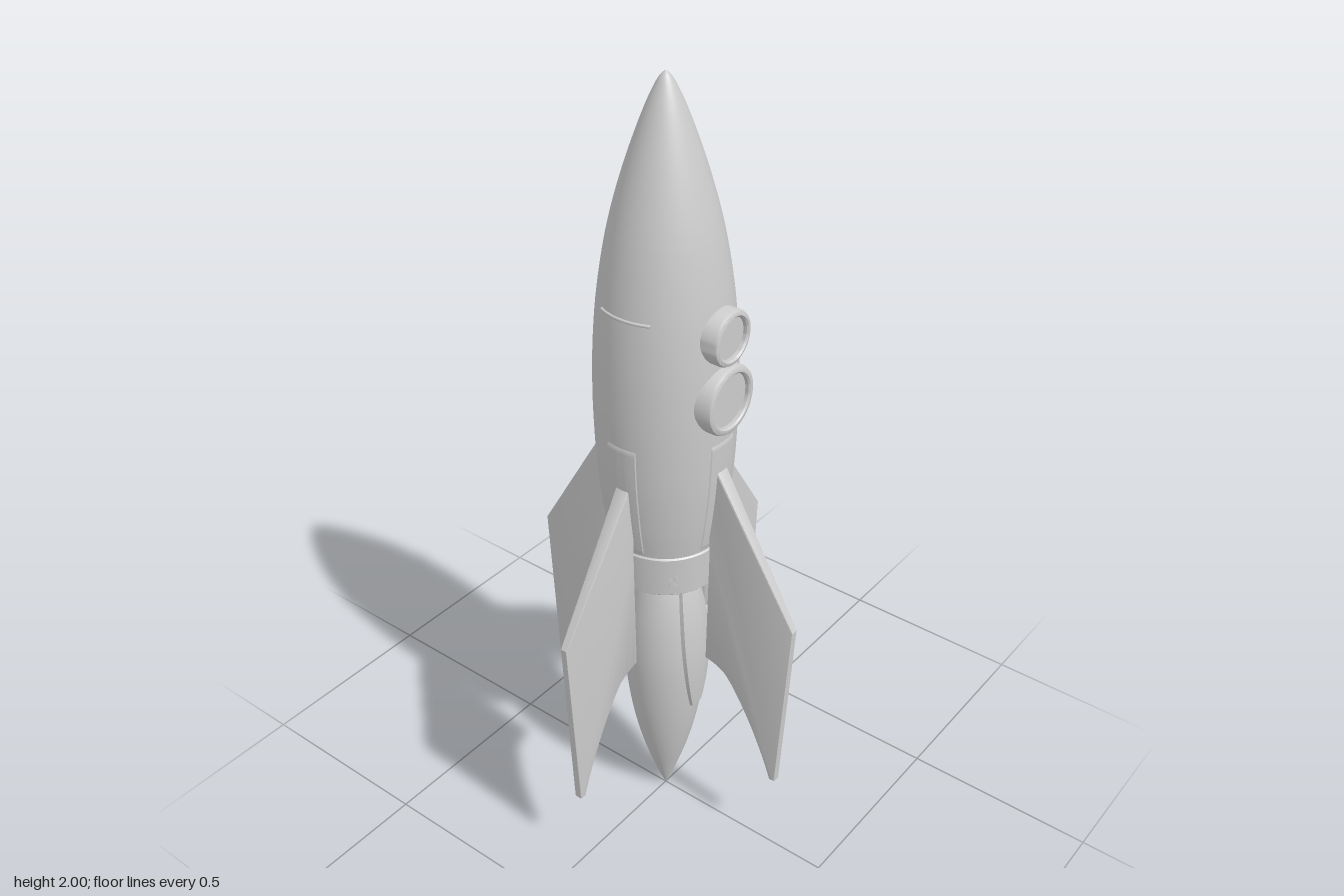
import * as THREE from 'three';
import { toCreasedNormals } from 'three/addons/utils/BufferGeometryUtils.js';

const material = new THREE.MeshStandardMaterial({ color: 0xcccccc });
const thin = new THREE.MeshStandardMaterial({ color: 0xcccccc, side: THREE.DoubleSide });
const vec = (p) => new THREE.Vector2(...p);

function add(parent, name, geometry, mat = material) {
  const mesh = new THREE.Mesh(geometry, mat);
  mesh.name = name;
  parent.add(mesh);
  return mesh;
}

// Smooth [radius, height] profiles, listed from bottom to top
const smooth = (points) => new THREE.SplineCurve(points.map(vec)).getPoints(80);
const hull = smooth([[0.138, 0.87], [0.15, 0.95], [0.161, 1.06], [0.166, 1.17], [0.167, 1.27], [0.163, 1.39],
  [0.151, 1.52], [0.127, 1.66], [0.092, 1.79], [0.05, 1.91], [0.018, 1.98], [0, 2]]);
const plume = smooth([[0, 0], [0.024, 0.06], [0.056, 0.16], [0.08, 0.26], [0.097, 0.37], [0.105, 0.49],
  [0.099, 0.6], [0.083, 0.69], [0.062, 0.76]]);

function radiusAt(profile, y) {
  const i = Math.max(1, profile.findIndex((p) => p.y >= y));
  const a = profile[i - 1], b = profile[i];
  return THREE.MathUtils.lerp(a.x, b.x, THREE.MathUtils.clamp((y - a.y) / (b.y - a.y), 0, 1));
}

// Part of a profile between two heights, turned about y
function section(profile, y0, y1) {
  const inner = profile.filter((p) => p.y > y0 + 0.002 && p.y < y1 - 0.002);
  const end = (y) => new THREE.Vector2(radiusAt(profile, y), y);
  return new THREE.LatheGeometry([end(y0), ...inner, end(y1)], 64);
}

const turned = (points, sides = 64) => toCreasedNormals(new THREE.LatheGeometry(points.map(vec), sides), 0.6);

// Raised skin lying on a turned profile, with edges dipping below its surface
function raisedPatch(profile, y0, y1, height, halfWidth) {
  const nu = 12, nv = 32;
  const geometry = new THREE.PlaneGeometry(1, 1, nu, nv);
  const pos = geometry.attributes.position;
  for (let i = 0; i < pos.count; i++) {
    const u = pos.getX(i) * 2, v = pos.getY(i) + 0.5;
    const edge = Math.min(1, (1 - Math.abs(u)) * nu / 2, v * nv, (1 - v) * nv);
    const y = THREE.MathUtils.lerp(y0, y1, v);
    const base = radiusAt(profile, y);
    const angle = u * halfWidth(v) / base;
    const r = base + THREE.MathUtils.lerp(-0.004, height, edge);
    pos.setXYZ(i, r * Math.sin(angle), y, r * Math.cos(angle));
  }
  return toCreasedNormals(geometry, 0.7);
}

// Swept fin in the x-y plane, thinning from root to tip
function finGeometry(top) {
  const shape = new THREE.Shape();
  shape.moveTo(0.14, top + 0.03);
  shape.lineTo(0.162, top);
  shape.lineTo(0.382, 0.73);
  shape.lineTo(0.354, 0.232);
  shape.lineTo(0.342, 0.232);
  shape.bezierCurveTo(0.31, 0.33, 0.25, 0.45, 0.205, 0.505);
  shape.quadraticCurveTo(0.185, 0.528, 0.141, 0.537);
  shape.lineTo(0.147, 0.87);
  shape.closePath();
  const geometry = new THREE.ExtrudeGeometry(shape, {
    depth: 0.8, bevelThickness: 0.1, bevelSize: 0.004, bevelOffset: -0.002, bevelSegments: 2, curveSegments: 16,
  });
  geometry.translate(0, 0, -0.4);
  const pos = geometry.attributes.position;
  for (let i = 0; i < pos.count; i++) {
    const t = (pos.getX(i) - 0.15) / 0.235;
    pos.setZ(i, pos.getZ(i) * 2 * THREE.MathUtils.lerp(0.019, 0.0095, t));
  }
  return toCreasedNormals(geometry, 0.5);
}

function porthole(name, y, radius, rim) {
  const group = new THREE.Group();
  group.name = name;
  group.position.y = y;
  group.rotation.x = Math.PI / 2;
  const inside = radius - rim;
  add(group, 'portholeRim', turned([[radius, 0.1], [radius, 0.178], [radius - 0.003, 0.185], [radius - 0.008, 0.188],
    [inside + 0.004, 0.188], [inside, 0.184], [inside, 0.165]], 48));
  add(group, 'portholeGlass', new THREE.CircleGeometry(inside + 0.002, 48).rotateX(-Math.PI / 2)).position.y = 0.175;
  return group;
}

export function createModel() {
  const rocket = new THREE.Group();
  rocket.name = 'rocket';

  // Hull sections
  add(rocket, 'lowerHull', section(hull, 0.87, 1.17));
  add(rocket, 'middleHull', section(hull, 1.17, 1.66));
  add(rocket, 'noseCone', section(hull, 1.66, 2));

  // Collar and open nozzle under the hull
  add(rocket, 'collar', turned([[0.07, 0.762], [0.136, 0.762], [0.139, 0.765], [0.142, 0.868], [0.138, 0.872]]));
  add(rocket, 'nozzle', turned([[0.07, 0.8], [0.074, 0.737], [0.086, 0.737], [0.087, 0.74], [0.087, 0.765]]), thin);

  // Exhaust flame with a raised tongue on its front
  add(rocket, 'flame', section(plume, 0, 0.76));
  add(rocket, 'flameTongue', raisedPatch(plume, 0.34, 0.74, 0.009,
    (v) => 0.004 + 0.052 * Math.sin(Math.PI * Math.min(1, 0.05 + v * 0.8)) ** 0.8), thin);

  // Portholes
  rocket.add(porthole('upperPorthole', 1.447, 0.066, 0.016));
  rocket.add(porthole('lowerPorthole', 1.291, 0.084, 0.019));

  for (let i = 0; i < 4; i++) {
    const side = new THREE.Group();
    side.name = ['frontSide', 'leftSide', 'backSide', 'rightSide'][i];
    side.rotation.y = i * Math.PI / 2;
    rocket.add(side);

    // Fin and its mounting plate
    add(side, 'fin', finGeometry(i % 2 ? 1.06 : 1.1)).rotation.y = -Math.PI / 2;
    add(side, 'finPlate', raisedPatch(hull, 0.872, 1.185, 0.002, () => 0.046), thin);

    // Curved ridge on the sides without portholes
    if (i > 0) {
      const ridge = new THREE.TorusGeometry(radiusAt(hull, 1.497), 0.004, 8, 24, 0.9);
      ridge.rotateZ(Math.PI / 2 - 0.45).rotateX(Math.PI / 2);
      add(side, 'hullRidge', ridge).position.y = 1.497;
    }

    // Cross-head fastener between the fins
    for (const turn of [-1, 1]) {
      const bar = add(side, 'fastenerBar', new THREE.BoxGeometry(0.005, 0.034, 0.006));
      bar.position.set(0.0985, 0.802, 0.0985);
      bar.rotation.set(0, Math.PI / 4, turn * 0.6, 'YXZ');
    }
  }
  return rocket;
}
